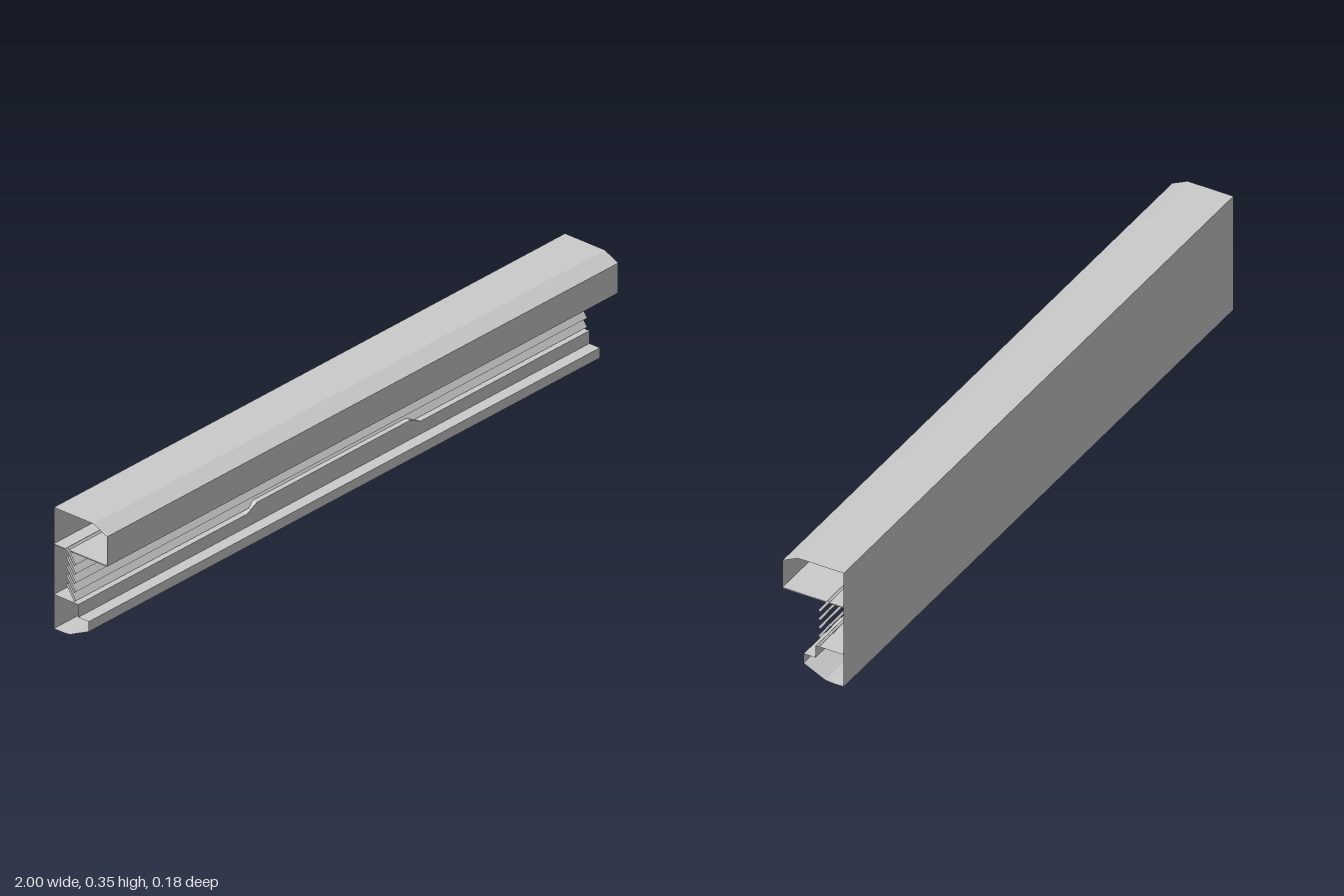
import * as THREE from 'three';

const BACK = -0.091, FRONT = 0.092, HALF = 1;
const material = new THREE.MeshStandardMaterial({ color: 0xcccccc, flatShading: true, side: THREE.DoubleSide });

// Thin folded sheet: each pair of neighbouring points is swept from a to b.
function sheet(points, toA, toB) {
  const pos = [];
  for (let i = 0; i < points.length - 1; i++) {
    const p = points[i], q = points[i + 1];
    const a = toA(p), b = toB(p), c = toB(q), d = toA(q);
    pos.push(...a, ...b, ...c, ...a, ...c, ...d);
  }
  const g = new THREE.BufferGeometry();
  g.setAttribute('position', new THREE.Float32BufferAttribute(pos, 3));
  g.computeVertexNormals();
  return g;
}

// Profile of [z, y] points running the full length.
const alongX = (profile) =>
  sheet(profile, ([z, y]) => [-HALF, y, z], ([z, y]) => [HALF, y, z]);

export function createModel() {
  const model = new THREE.Group();
  const add = (name, geometry, parent = model) => {
    const mesh = new THREE.Mesh(geometry, material);
    mesh.name = name;
    parent.add(mesh);
    return mesh;
  };

  // Upper housing: flat top, chamfer and front face
  add('upperHousing', alongX([[BACK, 0.355], [0.046, 0.355], [FRONT, 0.333], [FRONT, 0.247]]));

  // Shelf closing the underside of the housing
  const shelf = add('housingShelf', new THREE.BoxGeometry(2 * HALF, 0.003, FRONT - BACK));
  shelf.position.set(0, 0.247, (FRONT + BACK) / 2);

  // Flat back panel
  add('backPanel', alongX([[BACK, 0.355], [BACK, 0.247], [BACK, 0.1], [BACK, 0]]));

  // Slanted louvre slats
  const slats = new THREE.Group();
  slats.name = 'louvreSlats';
  model.add(slats);
  for (let i = 0; i < 5; i++) {
    const slat = add('slat', new THREE.BoxGeometry(2 * HALF, 0.05, 0.007), slats);
    slat.position.set(0, 0.232 - i * 0.0264, -0.032);
    slat.rotation.x = -0.61;
  }

  // Ledge under the slats with a raised middle, as [x, y]
  const ledge = [[-HALF, 0.1], [-0.34, 0.1], [-0.3, 0.119], [0.3, 0.119], [0.34, 0.1], [HALF, 0.1]];
  const LEDGE_FRONT = -0.007;
  add('ledge', sheet(ledge, ([x, y]) => [x, y, BACK], ([x, y]) => [x, y, LEDGE_FRONT]));

  // Riser from the lower rail up to the ledge outline
  add('ledgeRiser', sheet(ledge, ([x]) => [x, 0.0625, LEDGE_FRONT], ([x, y]) => [x, y, LEDGE_FRONT]));

  // Lower rail: step, front lip, sloped underside and base
  add('lowerRail', alongX([
    [LEDGE_FRONT, 0.0625], [0.029, 0.0625], [0.029, 0.033], [-0.036, 0.002], [-0.06, 0], [BACK, 0],
  ]));

  return model;
}
